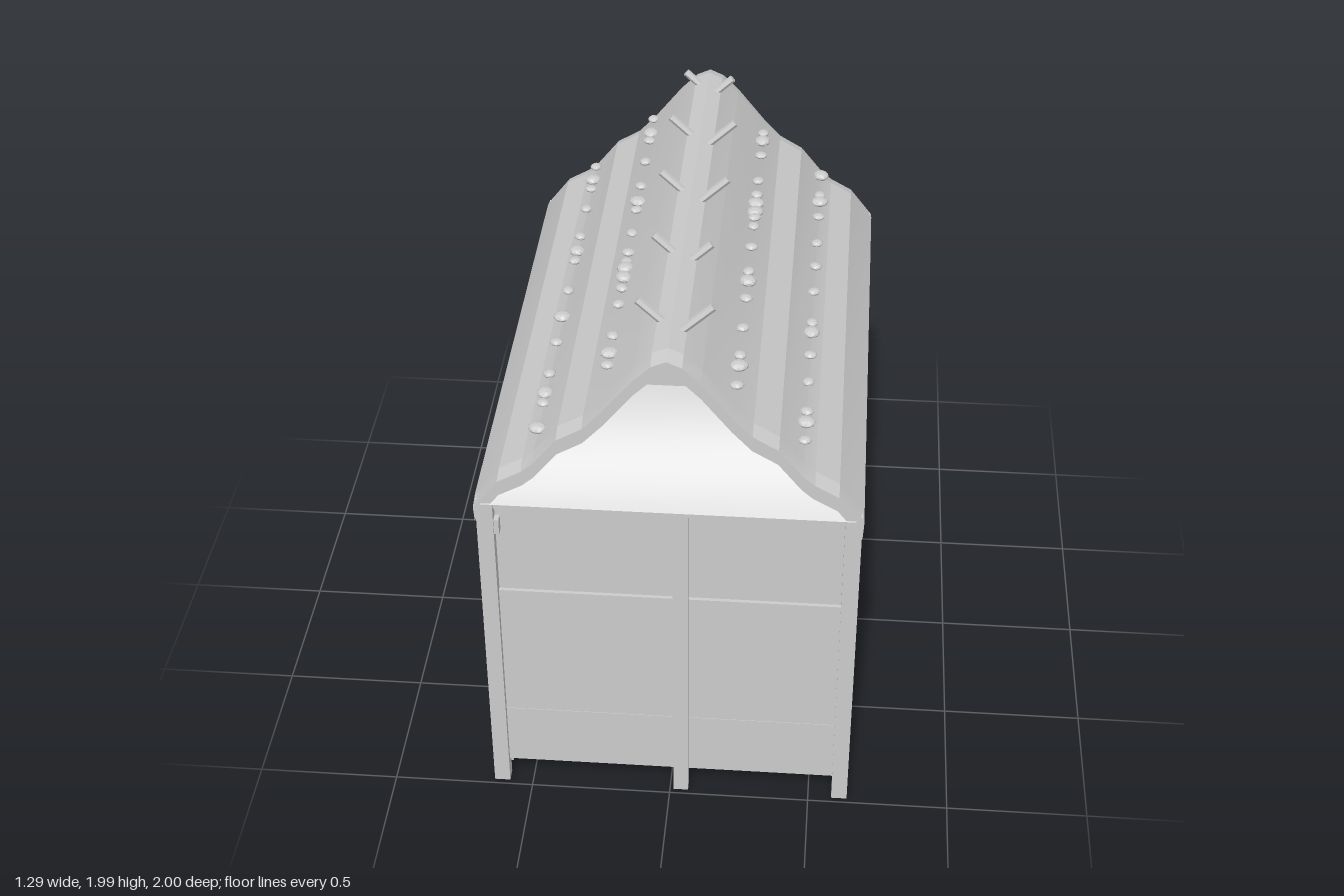
import * as THREE from 'three';
import { toCreasedNormals } from 'three/addons/utils/BufferGeometryUtils.js';

const mat = new THREE.MeshStandardMaterial({ color: 0xcccccc });
const flat = new THREE.MeshStandardMaterial({ color: 0xcccccc, flatShading: true });
const thin = new THREE.MeshStandardMaterial({ color: 0xcccccc, side: THREE.DoubleSide });

export function createModel() {
  const model = new THREE.Group();

  const add = (name, geo, material = mat, parent = model) => {
    const mesh = new THREE.Mesh(geo, material);
    mesh.name = name;
    parent.add(mesh);
    return mesh;
  };
  // Box given by its extents
  const box = (name, x0, x1, y0, y1, z0, z1, parent = model) => {
    const mesh = add(name, new THREE.BoxGeometry(x1 - x0, y1 - y0, z1 - z0), mat, parent);
    mesh.position.set((x0 + x1) / 2, (y0 + y1) / 2, (z0 + z1) / 2);
    return mesh;
  };
  // Round or square bar between two points
  const bar = (name, a, b, r, sides, parent = model) => {
    const dir = b.clone().sub(a);
    const mesh = add(name, new THREE.CylinderGeometry(r, r, dir.length(), sides), flat, parent);
    mesh.position.copy(a).add(b).multiplyScalar(0.5);
    mesh.quaternion.setFromUnitVectors(new THREE.Vector3(0, 1, 0), dir.normalize());
    return mesh;
  };
  const group = (name) => {
    const g = new THREE.Group();
    g.name = name;
    model.add(g);
    return g;
  };
  const V = (x, y, z) => new THREE.Vector3(x, y, z);

  // Posts: four corners, one in each end wall, uneven rows along the sides
  const posts = group('posts');
  const sidePosts = { 1: [0.54, 0.385, 0.17, 0, -0.44, -0.64], '-1': [0.86, 0.645, 0.54, 0.02, -0.22, -0.44] };
  for (const s of [1, -1]) {
    for (const z of [0.957, -0.93]) {
      box('cornerPost', s * 0.612 - 0.028, s * 0.612 + 0.028, 0, 1.3, z - 0.024, z + 0.024, posts);
    }
    for (const z of sidePosts[s]) {
      box('sidePost', s * 0.612 - 0.026, s * 0.612 + 0.026, 0, 1.3, z - 0.022, z + 0.022, posts);
    }
    const zEnd = s > 0 ? 0.957 : -0.93;
    box('endPost', 0.013, 0.066, 0, 1.305, zEnd - 0.024, zEnd + 0.024, posts);
  }

  // Walls in three bands, open underneath
  const walls = group('walls');
  const windows = { 1: [[0.19, 0.365], [-0.62, -0.462]], '-1': [[-0.195, -0.01], [0.67, 0.835]] };
  for (const s of [1, -1]) {
    const z = s > 0 ? 0.95 : -0.925;
    box('lowerEndWall', -0.61, 0.61, 0.09, 0.34, z - 0.01, z + 0.01, walls);
    box('middleEndWall', -0.61, 0.61, 0.34, 0.89, z - 0.008, z + 0.008, walls);
    const zu = z - s * 0.012;
    box('upperEndWall', -0.61, 0.61, 0.89, 1.26, zu - 0.007, zu + 0.007, walls);
    box('endBeam', -0.61, 0.61, 1.255, 1.305, z - 0.02, z + 0.02, walls);

    const x = s * 0.61;
    box('lowerSideWall', x - 0.01, x + 0.01, 0.09, 0.34, -0.93, 0.95, walls);
    box('middleSideWall', x - 0.008, x + 0.008, 0.34, 0.89, -0.93, 0.95, walls);
    box('sideBeam', x - 0.02, x + 0.02, 1.23, 1.31, -0.95, 0.97, walls);

    // Upper side wall with window openings
    const shape = new THREE.Shape([[-0.93, 0.89], [0.95, 0.89], [0.95, 1.27], [-0.93, 1.27]].map((p) => new THREE.Vector2(...p)));
    for (const [a, b] of windows[s]) {
      shape.holes.push(new THREE.Path([[a, 0.99], [a, 1.155], [b, 1.155], [b, 0.99]].map((p) => new THREE.Vector2(...p))));
    }
    const geo = new THREE.ExtrudeGeometry(shape, { depth: 0.014, bevelEnabled: false });
    geo.rotateY(-Math.PI / 2);
    add('upperSideWall', geo, mat, walls).position.x = s * 0.598 + 0.007;

    // Window bars and sills
    for (const [a, b] of windows[s]) {
      const n = 6;
      for (let i = 0; i < n; i++) {
        const zb = a + ((i + 0.5) / n) * (b - a);
        bar('windowBar', V(s * 0.6, 0.98, zb), V(s * 0.6, 1.165, zb), 0.011, 6, walls);
      }
      box('windowSill', s * 0.607 - 0.008, s * 0.607 + 0.008, 0.94, 0.99, a, b, walls);
    }
  }
  box('leftRail', 0.602, 0.62, 1.16, 1.21, -0.8, 0.365, walls);
  box('rightRail', -0.585, -0.567, 1.15, 1.21, -0.75, 0.975, walls);

  // Door on the right side: plain lower leaf, braced upper leaf
  const door = group('door');
  box('lowerLeaf', -0.632, -0.61, 0.34, 0.87, 0.08, 0.3, door);
  box('upperLeaf', -0.618, -0.6, 0.87, 1.23, 0.08, 0.33, door);
  for (const y of [0.87, 1.19]) box('doorRail', -0.635, -0.61, y, y + 0.04, 0.08, 0.33, door);
  for (const z of [0.08, 0.3]) box('doorStile', -0.632, -0.61, 0.87, 1.23, z, z + 0.03, door);
  bar('doorBrace', V(-0.622, 0.9, 0.1), V(-0.622, 1.2, 0.31), 0.014, 4, door);

  // Roof: wavy cross-section swept along z, drooping slightly at both ends
  const half = [[0.645, 1.295], [0.56, 1.405], [0.48, 1.45], [0.44, 1.485], [0.36, 1.585],
    [0.275, 1.635], [0.21, 1.705], [0.11, 1.83], [0.05, 1.89]];
  const outer = [...half, [0, 1.912], ...half.map(([x, y]) => [-x, y]).reverse()];
  const inner = outer.map(([x, y]) => [x * 0.995, y - 0.055]).reverse();
  const ring = [...outer, ...inner];
  const stations = [[-0.975, 0.015], [-0.92, 0], [0.94, 0], [0.997, 0.015]];
  const pos = [];
  const idx = [];
  const m = ring.length;
  for (const [z, drop] of stations) for (const [x, y] of ring) pos.push(x, y - drop, z);
  for (let k = 0; k < stations.length - 1; k++) {
    for (let i = 0; i < m; i++) {
      const j = (i + 1) % m;
      const [a, b, c, d] = [k * m + i, k * m + j, (k + 1) * m + j, (k + 1) * m + i];
      idx.push(a, b, c, a, c, d);
    }
  }
  const top = (stations.length - 1) * m;
  for (let i = 0; i < outer.length - 1; i++) {
    const [a, b, c, d] = [i, i + 1, m - 2 - i, m - 1 - i];
    idx.push(top + a, top + b, top + c, top + a, top + c, top + d);
    idx.push(a, c, b, a, d, c);
  }
  const roofGeo = new THREE.BufferGeometry();
  roofGeo.setAttribute('position', new THREE.Float32BufferAttribute(pos, 3));
  roofGeo.setIndex(idx);
  add('roof', toCreasedNormals(roofGeo, 0.2));

  // Curved skirt roofs, gable triangles and rafters at both ends
  const skirtRows = [[0.62, 1.295, 1], [0.59, 1.33, 0.945], [0.535, 1.385, 0.88], [0.44, 1.45, 0.815], [0.345, 1.54, 0.755], [0.255, 1.61, 0.72]];
  for (const s of [1, -1]) {
    const sp = [];
    const si = [];
    skirtRows.forEach(([w, y, z], k) => {
      sp.push(-w, y, s * z, w, y, s * z);
      if (k) {
        const a = 2 * k - 2;
        if (s > 0) si.push(a, a + 1, a + 3, a, a + 3, a + 2);
        else si.push(a, a + 3, a + 1, a, a + 2, a + 3);
      }
    });
    const skirt = new THREE.BufferGeometry();
    skirt.setAttribute('position', new THREE.Float32BufferAttribute(sp, 3));
    skirt.setIndex(si);
    skirt.computeVertexNormals();
    add('gableSkirt', skirt, thin);

    const tri = new THREE.Shape([V(-0.27, 1.6), V(0.27, 1.6), V(0, 1.87)].map((p) => new THREE.Vector2(p.x, p.y)));
    add('gableWall', new THREE.ShapeGeometry(tri), thin).position.z = s * 0.72;
    for (const e of [1, -1]) {
      bar('gableRafter', V(e * 0.33, 1.525, s * 0.83), V(0, 1.855, s * 0.83), 0.014, 4);
    }
  }

  // Crossed ridge poles, alternating sides
  const poles = group('ridgePoles');
  const poleRows = { 1: [-0.81, -0.41, -0.005, 0.38, 0.805], '-1': [-0.865, -0.47, -0.07, 0.335, 0.755] };
  for (const s of [1, -1]) {
    poleRows[s].forEach((z, i) => {
      const r = s > 0 ? [0.095, 0.13, 0.13, 0.1, 0.135][i] : [0.085, 0.11, 0.11, 0.1, 0.115][i];
      bar('ridgePole', V(s * r, 1.86 + r * 0.9, z - 0.004), V(s * -0.03, 1.835, z + 0.008), 0.014, 6, poles);
    });
  }

  // Weight stones in two rows on each slope; stones in the second list are bigger
  const stones = group('roofStones');
  const stoneRows = [
    [0.215, 1.725, [-0.8, -0.63, -0.44, -0.34, -0.18, -0.12, 0.02, 0.18, 0.35, 0.53, 0.69, 0.86], [-0.74, -0.28, -0.22, 0.24, 0.75]],
    [0.44, 1.51, [-0.72, -0.56, -0.37, -0.21, -0.04, 0.16, 0.36, 0.52, 0.69, 0.85], [-0.87, -0.67, 0.22, 0.75]],
    [-0.212, 1.725, [-0.88, -0.71, -0.55, -0.37, -0.2, -0.04, 0.09, 0.15, 0.32, 0.42, 0.61, 0.78], [-0.77, -0.26, 0.19, 0.25, 0.71]],
    [-0.44, 1.51, [-0.87, -0.7, -0.55, -0.35, -0.18, 0.02, 0.35, 0.54, 0.71], [-0.77, -0.25, 0.19, 0.65, 0.85]],
  ];
  for (const [x, y, small, big] of stoneRows) {
    [...small, ...big].forEach((z, i) => {
      const r = i < small.length ? 0.024 : 0.033;
      const stone = add('roofStone', new THREE.IcosahedronGeometry(r, 1), flat, stones);
      stone.scale.set(0.9, 0.5, 1);
      stone.position.set(x, y, z);
      stone.rotation.y = i * 1.3;
    });
  }
  return model;
}
